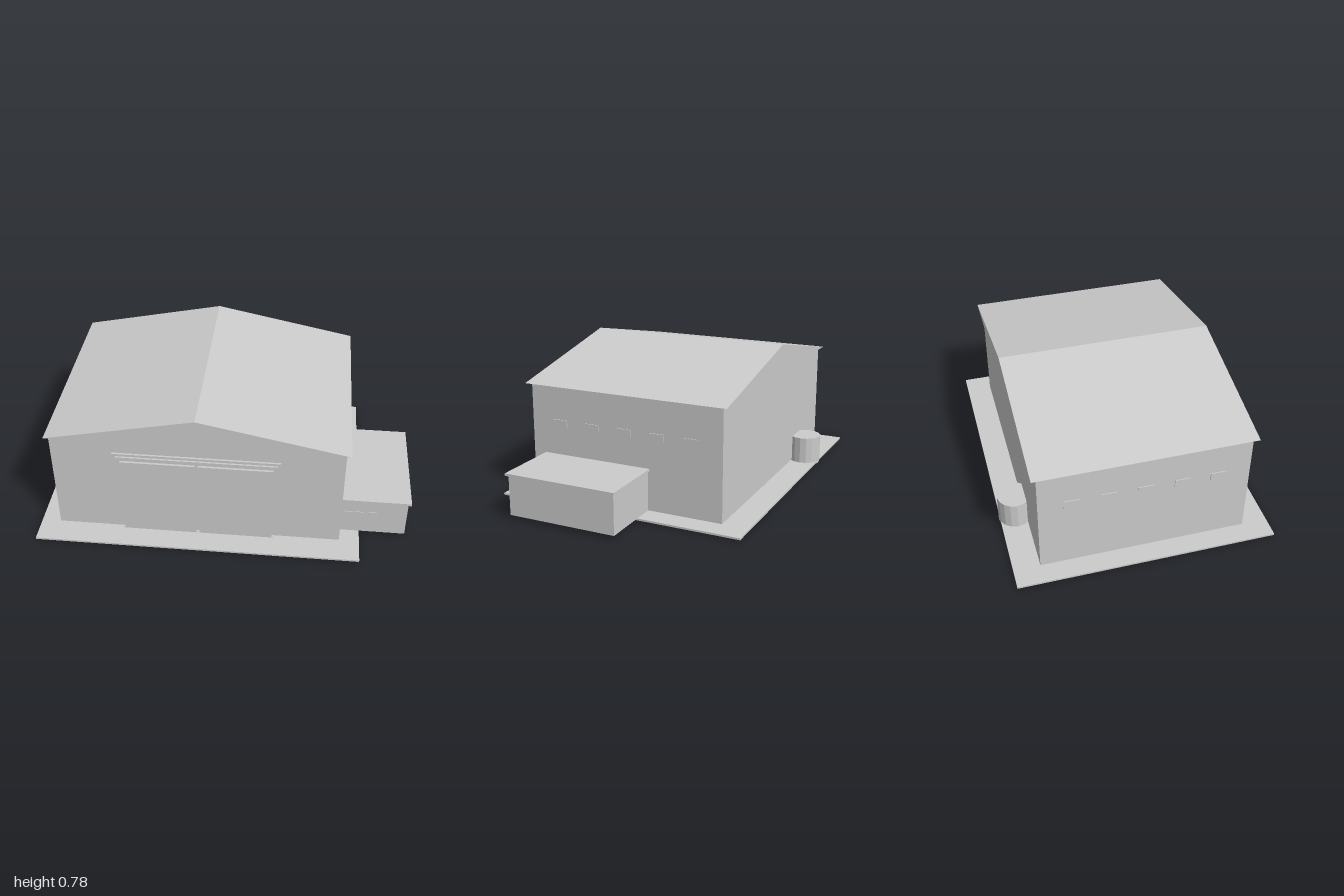
import * as THREE from 'three';

export function createModel() {
  const model = new THREE.Group();
  const grey = new THREE.MeshStandardMaterial({ color: 0xcccccc });
  grey.name = 'light grey';
  grey.flatShading = true;

  const add = (name, geometry) => {
    const mesh = new THREE.Mesh(geometry, grey);
    mesh.name = name;
    model.add(mesh);
    return mesh;
  };
  // Box given by its limits on each axis
  const box = (name, [x0, x1], [y0, y1], [z0, z1]) => {
    const mesh = add(name, new THREE.BoxGeometry(x1 - x0, y1 - y0, z1 - z0));
    mesh.position.set((x0 + x1) / 2, (y0 + y1) / 2, (z0 + z1) / 2);
    return mesh;
  };

  // Ground slab and main hall
  box('slab', [-1, 0.74], [0.003, 0.013], [-0.681, 0.687]);
  box('walls', [-0.895, 0.632], [0.018, 0.618], [-0.542, 0.548]);

  // Gabled roof with a small overhang
  const gable = new THREE.Shape([
    new THREE.Vector2(-0.915, 0.617),
    new THREE.Vector2(0.656, 0.617),
    new THREE.Vector2(-0.13, 0.778),
  ]);
  const roof = add('roof', new THREE.ExtrudeGeometry(gable, { depth: 1.143, bevelEnabled: false }));
  roof.position.z = -0.568;

  // Sliding doors with sill, rail and hood
  box('doorSill', [-0.54, 0.28], [0, 0.016], [0.545, 0.56]);
  box('slidingDoorRight', [-0.531, -0.14], [0.012, 0.478], [0.546, 0.562]);
  box('slidingDoorLeft', [-0.123, 0.268], [0.012, 0.478], [0.546, 0.562]);
  box('doorRail', [-0.55, 0.29], [0.494, 0.515], [0.558, 0.568]);
  box('doorHood', [-0.565, 0.305], [0.533, 0.544], [0.565, 0.576]);

  // Row of windows on both side walls
  for (let i = -2; i <= 2; i++) {
    const z = 0.003 + i * 0.188;
    box('sideWindow', [-0.9, -0.894], [0.395, 0.435], [z - 0.04, z + 0.04]);
    box('sideWindow', [0.631, 0.637], [0.395, 0.435], [z - 0.04, z + 0.04]);
  }

  // Lean-to annex with flat roof and small front windows
  box('annex', [0.63, 0.985], [0.018, 0.232], [-0.132, 0.467]);
  box('annexRoof', [0.63, 1], [0.231, 0.244], [-0.143, 0.478]);
  for (const x of [0.655, 0.71, 0.78]) {
    box('annexWindow', [x, x + 0.045], [0.12, 0.158], [0.466, 0.471]);
  }

  // Water tank against the back wall
  const tank = add('tank', new THREE.CylinderGeometry(0.09, 0.09, 0.163, 16));
  tank.position.set(-0.51, 0.0815, -0.597);

  return model;
}
